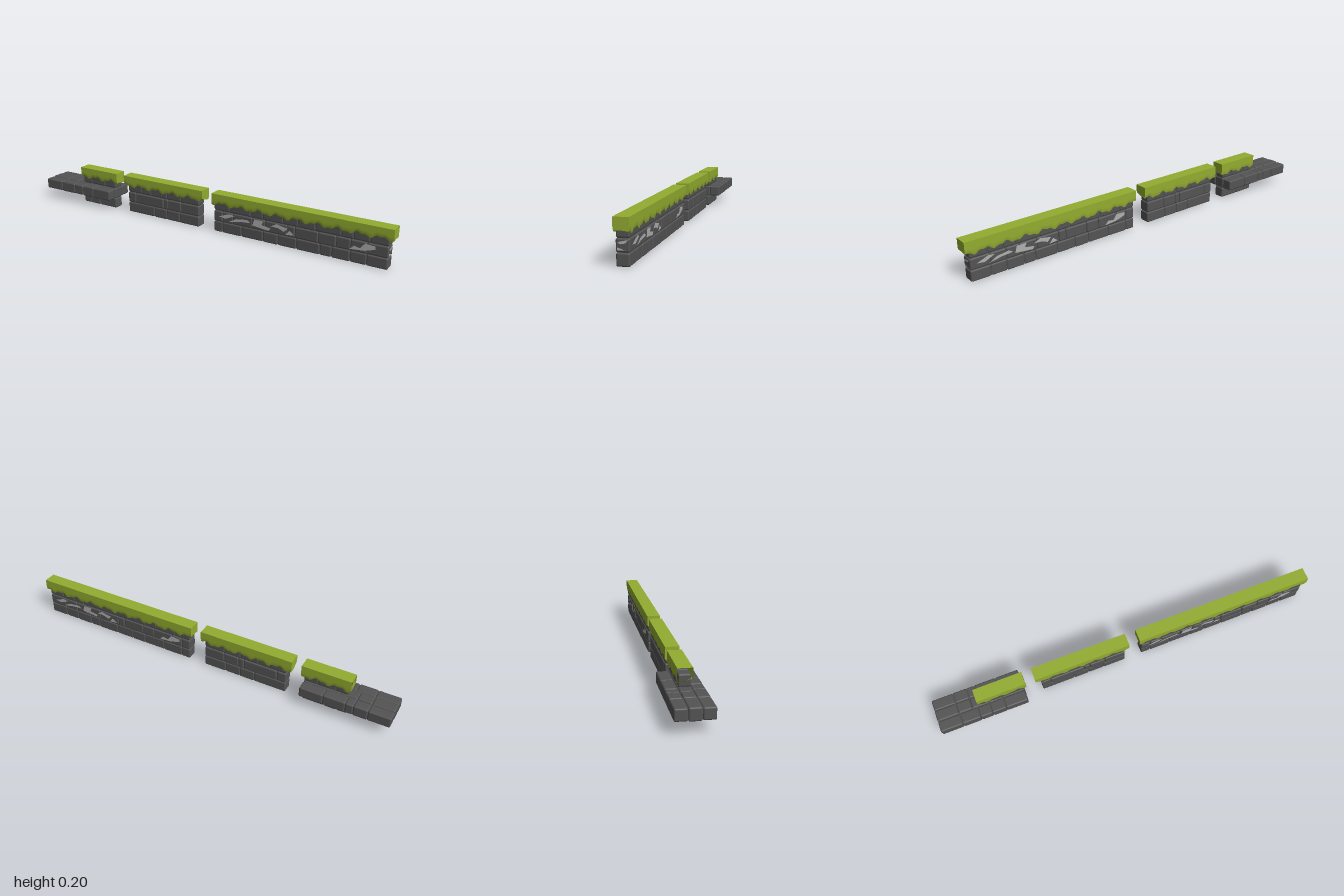
import * as THREE from 'three';
import { RoundedBoxGeometry } from 'three/addons/geometries/RoundedBoxGeometry.js';

const stone = new THREE.MeshStandardMaterial({ color: 0x545454 });
const plaster = new THREE.MeshStandardMaterial({ color: 0xb0b0b0, side: THREE.DoubleSide });
const moss = new THREE.MeshStandardMaterial({ color: 0x93ad30, side: THREE.DoubleSide });

const ROW = 0.057, THICK = 0.054, TOP = 0.2;

// Three courses of rounded bricks; each row lists the brick lengths from left to right
function brickWall(name, x0, length, rows) {
  const wall = new THREE.Group();
  wall.name = name;
  rows.forEach((lengths, r) => {
    const scale = length / lengths.reduce((a, b) => a + b, 0);
    let x = x0;
    lengths.forEach((l, i) => {
      const w = l * scale;
      const depth = THICK + (r === 1 ? 0.004 : 0) + (i % 2) * 0.002;
      const brick = new THREE.Mesh(new RoundedBoxGeometry(w - 0.001, ROW - 0.002, depth, 2, 0.007), stone);
      brick.name = 'brick';
      brick.position.set(x + w / 2, ROW * (r + 0.5), 0);
      wall.add(brick);
      x += w;
    });
  });
  // mortar core closing the joints
  const core = new THREE.Mesh(new THREE.BoxGeometry(length - 0.012, ROW * 3 - 0.012, THICK - 0.008), stone);
  core.name = 'mortarCore';
  core.position.set(x0 + length / 2, ROW * 1.5, 0);
  wall.add(core);
  return wall;
}

// Lower edge of the moss: soft uneven drips, different on each side
function dripEdge(x, z) {
  const phase = z > 0 ? 0 : 2.1;
  return 0.145 + 0.007 * Math.sin(x * 62 + phase) + 0.004 * Math.sin(x * 139 + phase * 2) + 0.12 * z;
}

// Mossy cap: a box whose lower rim hangs in drips and tucks inwards
function mossCap(name, x0, x1, openEnd) {
  const n = Math.round((x1 - x0) * 110);
  const geo = new THREE.BoxGeometry(x1 - x0, 1, 2, n, 6, 2);
  const p = geo.attributes.position;
  for (let i = 0; i < p.count; i++) {
    const x = p.getX(i) + (x0 + x1) / 2, v = p.getY(i) + 0.5, z = p.getZ(i);
    const low = dripEdge(x, z * 0.033);
    const tuck = v < 0.3 ? 1 - 0.09 * (1 - v / 0.3) ** 2 : 1;
    p.setXYZ(i, x, low + (TOP - low) * v, z * 0.033 * tuck);
  }
  if (openEnd) {
    const { start, count } = geo.groups[1]; // drop the -x end face
    const index = Array.from(geo.index.array);
    index.splice(start, count);
    geo.setIndex(index);
    geo.clearGroups();
  }
  geo.computeVertexNormals();
  const cap = new THREE.Mesh(geo, moss);
  cap.name = name;
  return cap;
}

// Ragged flake of plaster lying on the middle course
function plasterPatch(points) {
  const shape = new THREE.Shape(points.map(([x, y]) => new THREE.Vector2(x, y)));
  const mesh = new THREE.Mesh(new THREE.ShapeGeometry(shape), plaster);
  mesh.name = 'plasterPatch';
  return mesh;
}

export function createModel() {
  const model = new THREE.Group();
  model.name = 'mossyBrickWalls';

  const shortRows = [[5, 6, 11], [4, 7, 11], [6, 9, 7]];
  const midRows = [[17, 8, 8, 12], [5, 18, 3, 8, 11], [9, 6, 10, 9, 11]];
  const longRows = [
    [5, 11, 12, 8, 10, 12, 6, 9, 8, 10],
    [5, 6, 11, 7, 12, 4, 12, 9, 7, 8, 10],
    [9, 12, 7, 11, 8, 9, 13, 6, 8, 9],
  ];

  // Standing walls
  model.add(brickWall('shortWall', -0.775, 0.225, shortRows));
  model.add(brickWall('middleWall', -0.46, 0.45, midRows));
  model.add(brickWall('longWall', 0.08, 0.9, longRows));

  // Wall piece lying flat through the short wall
  const slabRows = [[11, 9, 6, 7, 11], [11, 7, 8, 7, 12], [11, 7, 4, 11, 12]];
  const slab = brickWall('fallenWall', -1, 0.45, slabRows);
  slab.rotation.x = -Math.PI / 2;
  slab.position.set(0, 0.085, ROW * 1.5);
  model.add(slab);

  // Moss caps
  model.add(mossCap('shortMossCap', -0.785, -0.535, true));
  model.add(mossCap('middleMossCap', -0.485, 0.012, false));
  model.add(mossCap('longMossCap', 0.068, 1, false));

  // Plaster flakes, as outlines of x, y
  const flakes = [
    [[0.11, 0.085], [0.17, 0.108], [0.2, 0.103], [0.15, 0.08]],
    [[0.17, 0.068], [0.21, 0.09], [0.27, 0.098], [0.29, 0.085], [0.23, 0.08]],
    [[0.3, 0.075], [0.31, 0.108], [0.36, 0.109], [0.35, 0.088], [0.4, 0.08], [0.39, 0.066]],
    [[0.4, 0.092], [0.43, 0.109], [0.49, 0.098], [0.47, 0.078], [0.44, 0.09]],
    [[0.48, 0.065], [0.5, 0.09], [0.525, 0.07]],
    [[0.8, 0.066], [0.82, 0.086], [0.85, 0.08], [0.87, 0.107], [0.92, 0.104], [0.92, 0.088], [0.87, 0.072]],
  ];
  for (const f of flakes) {
    const front = plasterPatch(f);
    front.position.z = 0.0305;
    const back = plasterPatch(f);
    back.position.set(1.06, 0, -0.0305);
    back.rotation.y = Math.PI;
    model.add(front, back);
  }
  // Flakes on the end of the long wall
  const ends = [
    [[-0.022, 0.098], [0.022, 0.108], [0.012, 0.094], [-0.01, 0.09]],
    [[-0.022, 0.066], [-0.022, 0.078], [0.012, 0.066]],
  ];
  for (const f of ends) {
    const patch = plasterPatch(f);
    patch.rotation.y = Math.PI / 2;
    patch.position.x = 0.9805;
    model.add(patch);
  }
  return model;
}
